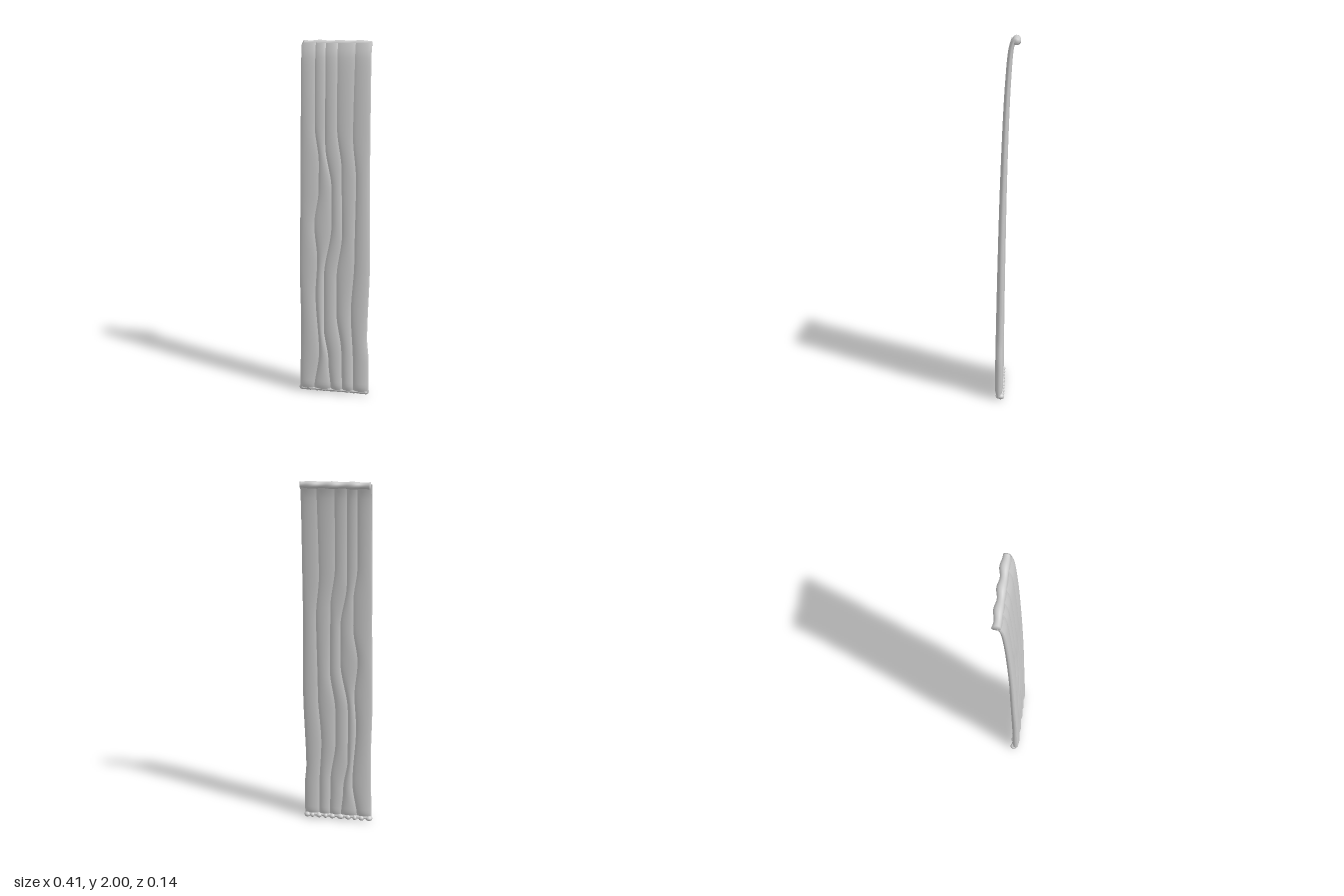
import * as THREE from 'three';

// Piecewise-linear lookup in [key, value] pairs, eased between keys
function curve(pts, k) {
  if (k <= pts[0][0]) return pts[0][1];
  for (let i = 1; i < pts.length; i++) {
    const [a, va] = pts[i - 1], [b, vb] = pts[i];
    if (k <= b) return THREE.MathUtils.lerp(va, vb, THREE.MathUtils.smoothstep(k, a, b));
  }
  return pts[pts.length - 1][1];
}

// Side profile: centre depth of the hanging cloth by height
const lean = new THREE.SplineCurve([
  [0.01, 0.046], [0.4, 0.04], [0.8, 0.031], [1.2, 0.02], [1.6, 0.004], [1.85, -0.012], [1.95, -0.024], [1.985, -0.036],
].map(([y, z]) => new THREE.Vector2(y, z)));

// Fold lines from right edge to left edge, as [height, x]
const folds = [
  [[0, -0.195], [0.4, -0.187], [0.75, -0.193], [1.3, -0.186], [2, -0.184]],
  [[0, -0.115], [0.25, -0.085], [0.6, -0.105], [0.8, -0.095], [1, -0.112], [1.2, -0.087], [1.35, -0.087], [1.55, -0.11], [2, -0.11]],
  [[0, -0.015], [0.2, -0.03], [0.4, -0.057], [0.7, -0.057], [1, -0.015], [1.2, -0.015], [1.45, -0.052], [2, -0.055]],
  [[0, 0.05], [0.25, 0.045], [0.5, 0.015], [0.7, 0.015], [0.95, 0.045], [1.3, 0.04], [1.55, 0.012], [2, 0.01]],
  [[0, 0.115], [0.2, 0.112], [0.5, 0.098], [0.8, 0.115], [1.25, 0.12], [1.5, 0.1], [2, 0.105]],
  [[0, 0.198], [0.2, 0.198], [0.35, 0.187], [0.8, 0.198], [1.3, 0.19], [2, 0.187]],
];

// Grid surface from a point function; u runs right, v runs up
function grid(nu, nv, fn, flip) {
  const pos = [], idx = [];
  for (let j = 0; j <= nv; j++) for (let i = 0; i <= nu; i++) pos.push(...fn(i / nu, j / nv));
  for (let j = 0; j < nv; j++) for (let i = 0; i < nu; i++) {
    const a = j * (nu + 1) + i, b = a + 1, c = a + nu + 1, d = c + 1;
    if (flip) idx.push(a, d, b, a, c, d);
    else idx.push(a, b, d, a, d, c);
  }
  const g = new THREE.BufferGeometry();
  g.setAttribute('position', new THREE.Float32BufferAttribute(pos, 3));
  g.setIndex(idx);
  g.computeVertexNormals();
  return g;
}

export function createModel() {
  const group = new THREE.Group();
  const cloth = new THREE.MeshStandardMaterial({ color: 0xcccccc, side: THREE.DoubleSide });
  cloth.name = 'pale grey cloth';
  const add = (name, geometry) => {
    const mesh = new THREE.Mesh(geometry, cloth);
    mesh.name = name;
    group.add(mesh);
    return mesh;
  };

  // Sheet rows, denser towards the curled hem
  const height = v => 0.012 + 1.973 * Math.pow(v, 1.25);
  const depth = y => lean.getPoint((() => {
    let lo = 0, hi = 1;
    for (let i = 0; i < 24; i++) {
      const m = (lo + hi) / 2;
      if (lean.getPoint(m).x < y) lo = m; else hi = m;
    }
    return lo;
  })()).y;
  const half = y => (0.012 - 0.004 * (y / 2)) * Math.sqrt(Math.min(1, 0.2 + y / 0.06));
  const bulge = y => (0.011 - 0.0055 * (y / 2)) * Math.min(1, 0.2 + y / 0.06);

  // Pleats: each is a rounded strip meeting its neighbours in a crease
  for (const side of [1, -1]) {
    for (let f = 0; f < folds.length - 1; f++) {
      add(side > 0 ? 'frontPleat' : 'backPleat', grid(10, 64, (u, v) => {
        const y = height(v);
        const x = THREE.MathUtils.lerp(curve(folds[f], y), curve(folds[f + 1], y), u);
        const z = depth(y) + side * (half(y) + bulge(y) * Math.pow(Math.sin(Math.PI * u), 0.7));
        return [x, y, z];
      }, side < 0));
    }
  }

  // Side edges closing the sheet
  for (const side of [-1, 1]) {
    const line = side < 0 ? folds[0] : folds[folds.length - 1];
    add('sideEdge', grid(6, 64, (u, v) => {
      const y = height(v);
      return [curve(line, y) + side * 0.004 * Math.sin(Math.PI * u), y, depth(y) + (u * 2 - 1) * half(y)];
    }, side > 0));
  }

  // Lumpy roll along x; a zero radius at each end closes it
  function roll(name, x0, x1, cy, cz, ry, rz, n) {
    add(name, grid(n, 16, (u, v) => {
      const s = Math.min(1, Math.max(0, (u * n - 1) / (n - 2)));
      const end = u === 0 || u === 1 ? 0 : 1;
      const x = THREE.MathUtils.lerp(x0, x1, s), a = v * Math.PI * 2;
      return [x, cy + Math.sin(a) * ry(x) * end, cz(x) + Math.cos(a) * rz(x) * end];
    }));
  }

  // Top roll with gentle swells
  const swell = x => 0.5 + 0.5 * Math.cos((x + 0.09) * Math.PI * 2 / 0.108);
  roll('topRoll', -0.18, 0.188, 1.98, x => -0.047 - 0.004 * swell(x), x => 0.016 + 0.004 * swell(x),
    x => 0.018 + 0.005 * swell(x), 60);

  // Gathered hem
  roll('hemRoll', -0.19, 0.195, 0.022, () => 0.042, () => 0.012, () => 0.02, 40);
  const beads = [[-0.185, 0.021], [-0.14, 0.019], [-0.1, 0.015], [-0.06, 0.019], [-0.015, 0.024],
    [0.035, 0.02], [0.075, 0.016], [0.115, 0.02], [0.155, 0.016], [0.185, 0.02]];
  for (const [x, r] of beads) {
    const bead = add('hemGather', new THREE.SphereGeometry(1, 16, 10));
    bead.scale.set(r, 0.016, 0.021);
    bead.position.set(x, 0.018, 0.035);
  }
  return group;
}
